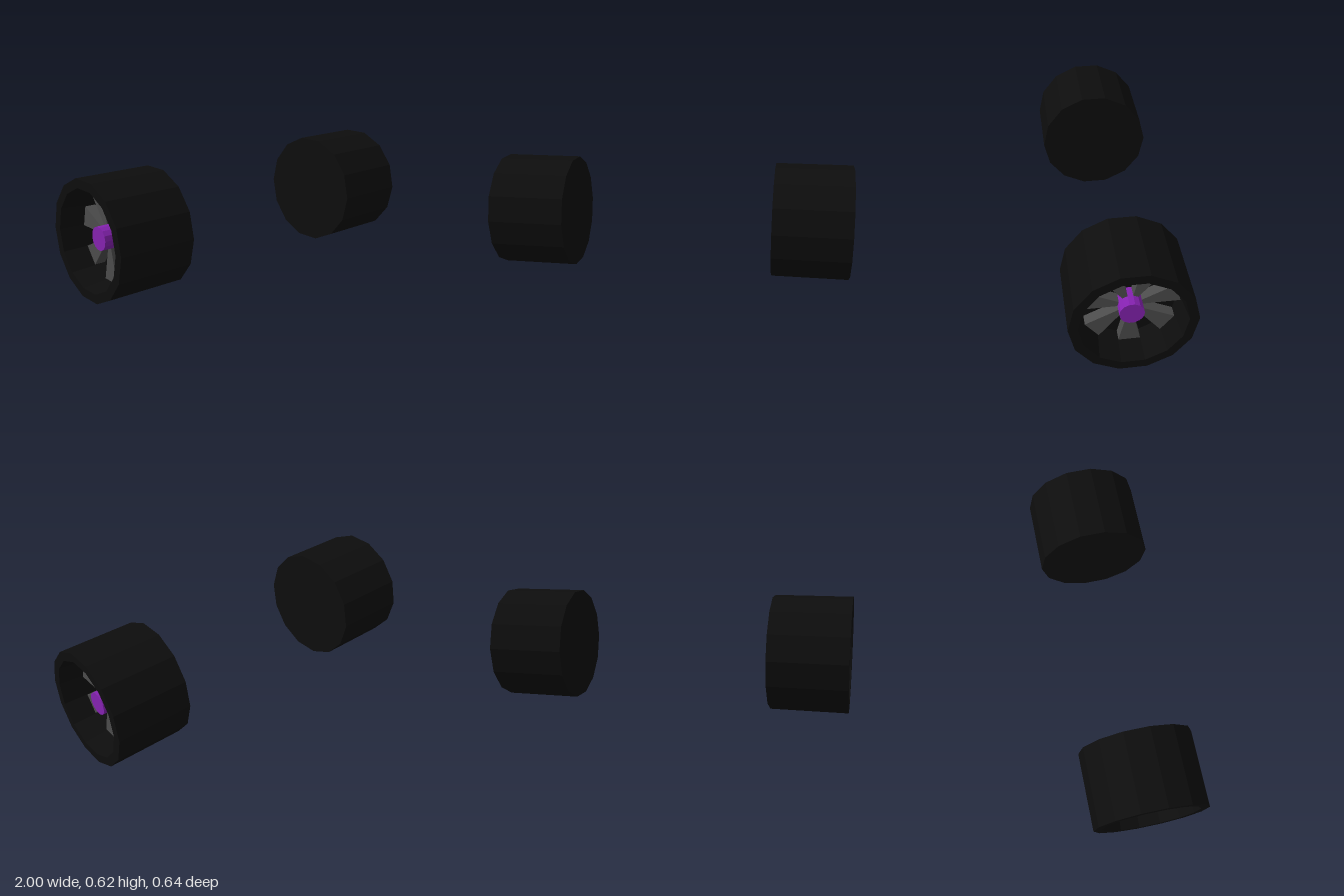
import * as THREE from 'three';

const SIDES = 14;
const RADIUS = 0.319;
const AXLE_Y = 0.311;
const HUB_R = 0.063;
const FLOOR_X = 0.81;

const mat = (color) => new THREE.MeshStandardMaterial({ color, flatShading: true });
const tyreMat = mat(0x0d0d0d);
const spokeMat = mat(0x4c4c4c);
const hubMat = mat(0x8522b0);

// Revolve a [radius, x] profile around the x axis
function revolve(name, profile, material) {
  const points = profile.map(([r, x]) => new THREE.Vector2(r, x));
  const mesh = new THREE.Mesh(new THREE.LatheGeometry(points, SIDES), material);
  mesh.rotation.z = -Math.PI / 2;
  mesh.name = name;
  return mesh;
}

// One tapered spoke: every second sector between hub and rim
function makeSpoke(i) {
  const mid = -Math.PI / 2 + (i * Math.PI * 2) / 7;
  const half = Math.PI / SIDES;
  const at = (r, a) => new THREE.Vector2(r * Math.cos(a), r * Math.sin(a));
  const shape = new THREE.Shape([
    at(HUB_R, mid - half), at(0.25, mid - half),
    at(0.25, mid + half), at(HUB_R, mid + half),
  ]);
  const geometry = new THREE.ExtrudeGeometry(shape, { depth: 0.06, bevelEnabled: false });
  const mesh = new THREE.Mesh(geometry, spokeMat);
  mesh.rotation.y = Math.PI / 2;
  mesh.position.x = FLOOR_X;
  mesh.name = 'spoke' + (i + 1);
  return mesh;
}

// Wheel on the +x side, its dished face outward
function makeWheel(name) {
  const wheel = new THREE.Group();
  wheel.name = name;
  // Tyre with closed inner side and recessed outer side
  wheel.add(revolve('tyre', [
    [0, 0.574], [RADIUS, 0.574], [RADIUS, 1], [0.27, 1], [0.25, FLOOR_X], [0, FLOOR_X],
  ], tyreMat));
  for (let i = 0; i < 7; i++) wheel.add(makeSpoke(i));
  // Hub cap
  wheel.add(revolve('hub', [[HUB_R, FLOOR_X], [HUB_R, 0.93], [0, 0.93]], hubMat));
  wheel.position.y = AXLE_Y;
  return wheel;
}

export function createModel() {
  const model = new THREE.Group();
  model.name = 'wheelPair';
  const left = makeWheel('leftWheel');
  const right = makeWheel('rightWheel');
  right.rotation.y = Math.PI;
  model.add(left, right);
  return model;
}
